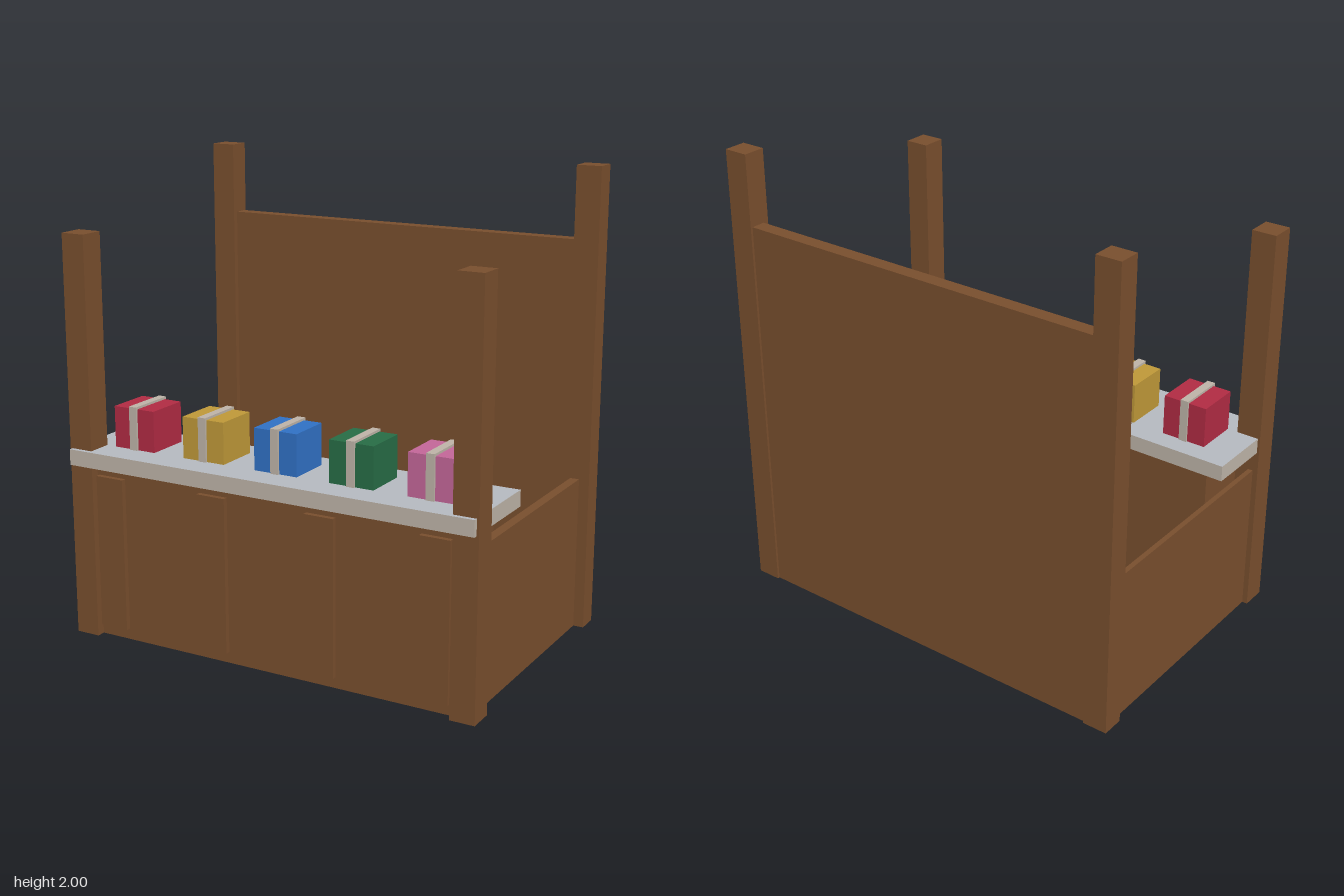
import * as THREE from 'three';

export function createModel() {
  const root = new THREE.Group();
  root.name = 'marketStall';

  const mat = (name, color) => {
    const m = new THREE.MeshStandardMaterial({ color });
    m.name = name;
    return m;
  };
  const wood = mat('brownWood', 0x784e2d);
  const trim = mat('warmGrey', 0xbdb3a7);
  const slab = mat('coolGrey', 0xb5b9bf);

  // Box given by its extents on each axis
  const box = (name, [x0, x1], [y0, y1], [z0, z1], material, parent = root) => {
    const mesh = new THREE.Mesh(new THREE.BoxGeometry(x1 - x0, y1 - y0, z1 - z0), material);
    mesh.position.set((x0 + x1) / 2, (y0 + y1) / 2, (z0 + z1) / 2);
    mesh.name = name;
    parent.add(mesh);
    return mesh;
  };

  // Corner posts: short in front, tall at the back
  for (const [side, x] of [['right', [-0.945, -0.837]], ['left', [0.833, 0.941]]]) {
    box(side + 'FrontPost', x, [0, 1.735], [0.487, 0.598], wood);
    box(side + 'BackPost', x, [0, 2], [-0.615, -0.517], wood);
  }

  // Walls, open underneath
  box('backWall', [-0.84, 0.836], [0, 1.69], [-0.605, -0.542], wood);
  box('rightWall', [-0.922, -0.9], [0, 0.668], [-0.52, 0.49], wood);
  box('leftWall', [0.856, 0.896], [0, 0.668], [-0.52, 0.49], wood);

  // Counter body with raised front battens
  box('counterBody', [-0.84, 0.84], [0, 0.757], [0.242, 0.56], wood);
  for (const x of [-0.761, -0.255, 0.249, 0.753]) {
    box('frontBatten', [x - 0.066, x + 0.066], [0.048, 0.715], [0.55, 0.582], wood);
  }

  // Counter slab: cool grey on top, warm grey elsewhere
  box('counterTop', [-0.935, 0.931], [0.757, 0.825], [0.197, 0.617],
    [trim, trim, slab, trim, trim, trim]);

  // Row of wrapped boxes, each with a ribbon band
  const wraps = [
    ['red', 0xb02b43], ['gold', 0xbe9838], ['blue', 0x3070c4],
    ['green', 0x276c45], ['pink', 0xc26698],
  ];
  wraps.forEach(([name, color], i) => {
    const x = -0.692 + i * 0.345;
    const gift = new THREE.Group();
    gift.name = name + 'Gift';
    root.add(gift);
    box('giftBox', [x - 0.099, x + 0.099], [0.825, 1.002], [0.291, 0.488], mat(name, color), gift);
    box('ribbon', [x - 0.018, x + 0.018], [0.825, 1.012], [0.283, 0.498], trim, gift);
  });

  return root;
}
